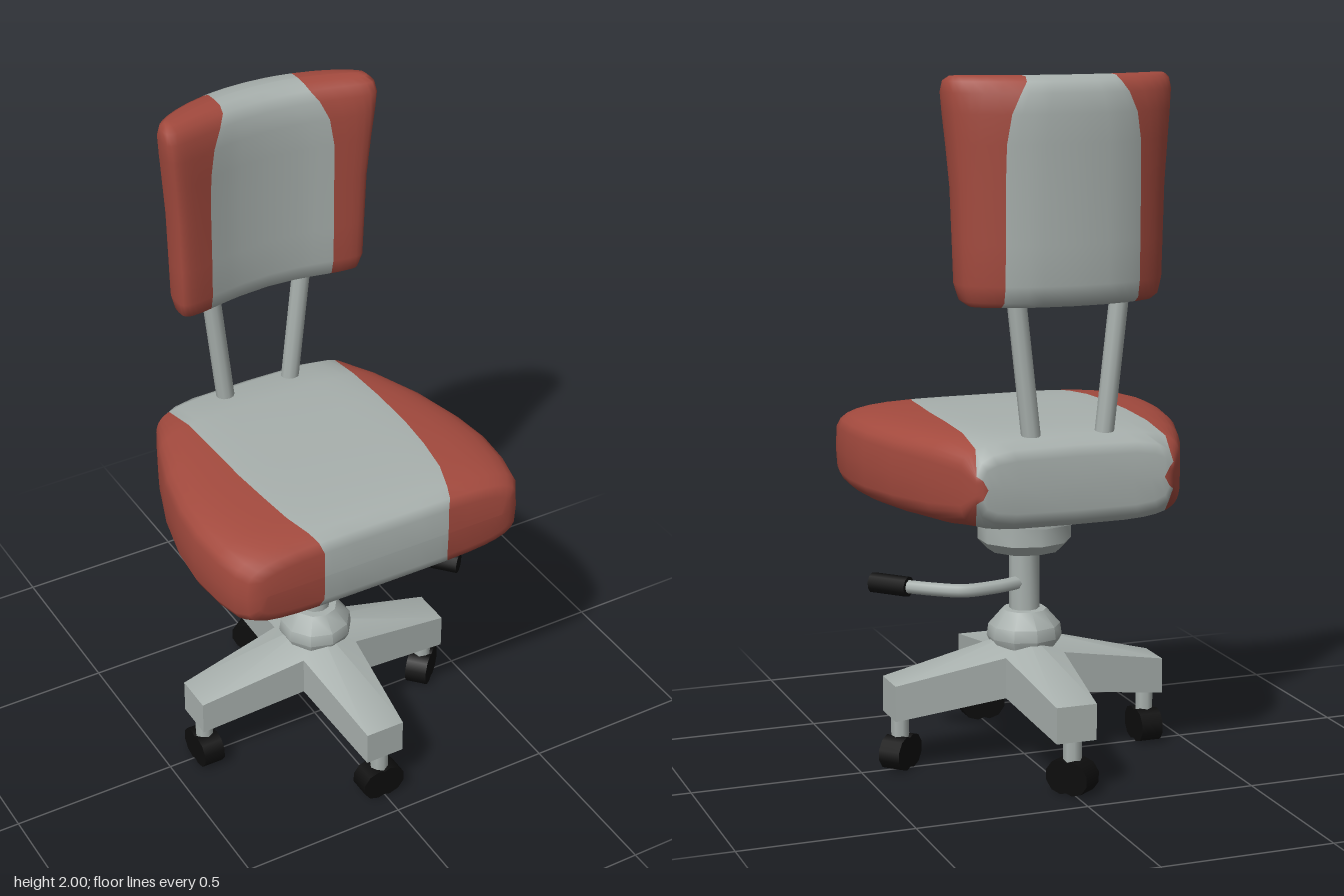
import * as THREE from 'three';
import { toCreasedNormals } from 'three/addons/utils/BufferGeometryUtils.js';

const red = new THREE.MeshStandardMaterial({ color: 0xa34a3e });
red.name = 'red upholstery';
const grey = new THREE.MeshStandardMaterial({ color: 0xa8b0ad });
grey.name = 'grey';
const black = new THREE.MeshStandardMaterial({ color: 0x0d0d0d });
black.name = 'black rubber';

function add(parent, name, geometry, material, x = 0, y = 0, z = 0) {
  const mesh = new THREE.Mesh(geometry, material);
  mesh.name = name;
  mesh.position.set(x, y, z);
  parent.add(mesh);
  return mesh;
}

// Lofted cushion: superellipse sections [t, halfWidth, stripeHalfWidth, halfHeight, centre]
// run along z; the middle stripe is grey and the two sides are red.
function cushion(stations, n) {
  const SIDE = 14, MID = 8, RING = 2 * (SIDE + MID);
  const pos = [], greyIdx = [], redIdx = [];
  for (const [t, w, s, h, c] of stations) {
    const a0 = Math.acos(Math.min(0.995, Math.pow(s / w, n / 2)));
    const spans = [[-a0, a0, SIDE], [a0, Math.PI - a0, MID],
      [Math.PI - a0, Math.PI + a0, SIDE], [Math.PI + a0, 2 * Math.PI - a0, MID]];
    for (const [from, to, count] of spans) {
      for (let k = 0; k < count; k++) {
        const a = from + (to - from) * k / count;
        const p = v => Math.sign(v) * Math.pow(Math.abs(v), 2 / n);
        pos.push(w * p(Math.cos(a)), c + h * p(Math.sin(a)), t);
      }
    }
  }
  for (let i = 0; i < stations.length - 1; i++) {
    for (let j = 0; j < RING; j++) {
      const j2 = (j + 1) % RING;
      const a = i * RING + j, b = i * RING + j2, c = b + RING, d = a + RING;
      const isSide = j % (SIDE + MID) < SIDE;
      (isSide ? redIdx : greyIdx).push(a, b, d, b, c, d);
    }
  }
  const g = new THREE.BufferGeometry();
  g.setAttribute('position', new THREE.Float32BufferAttribute(pos, 3));
  g.setIndex([...redIdx, ...greyIdx]);
  g.addGroup(0, redIdx.length, 0);
  g.addGroup(redIdx.length, greyIdx.length, 1);
  return g;
}

// Four-legged star: fans from a top and a bottom centre to an outline of tips and valleys
function starGeometry() {
  const outline = [];
  for (let k = 0; k < 4; k++) {
    const c = Math.cos(k * Math.PI / 2), s = Math.sin(k * Math.PI / 2);
    for (const [r, o, lo, hi] of [[0.415, -0.06, 0.155, 0.26], [0.415, 0.06, 0.155, 0.26], [0.09, 0.09, 0.2, 0.32]])
      outline.push([r * c - o * s, r * s + o * c, lo, hi]);
  }
  const pos = [];
  outline.forEach(([x, z, lo, hi], i) => {
    const [x2, z2, lo2, hi2] = outline[(i + 1) % outline.length];
    pos.push(0, 0.38, 0, x2, hi2, z2, x, hi, z);
    pos.push(0, 0.23, 0, x, lo, z, x2, lo2, z2);
    pos.push(x, lo, z, x, hi, z, x2, hi2, z2, x, lo, z, x2, hi2, z2, x2, lo2, z2);
  });
  const g = new THREE.BufferGeometry();
  g.setAttribute('position', new THREE.Float32BufferAttribute(pos, 3));
  return toCreasedNormals(g, 0.5);
}

function lathe(points, sides) {
  return toCreasedNormals(new THREE.LatheGeometry(points.map(p => new THREE.Vector2(...p)), sides), 0.7);
}

function rod(parent, name, from, to, radius, material) {
  const a = new THREE.Vector3(...from), b = new THREE.Vector3(...to);
  const dir = b.clone().sub(a);
  const mesh = add(parent, name, new THREE.CylinderGeometry(radius, radius, dir.length(), 10), material);
  mesh.position.copy(a).add(b).multiplyScalar(0.5);
  mesh.quaternion.setFromUnitVectors(new THREE.Vector3(0, 1, 0), dir.normalize());
  return mesh;
}

export function createModel() {
  const chair = new THREE.Group();
  chair.name = 'officeChair';

  // Seat
  const seat = cushion([
    [-0.415, 0.26, 0.26, 0, 0.895], [-0.415, 0.275, 0.275, 0.075, 0.895],
    [-0.405, 0.29, 0.29, 0.105, 0.895], [-0.37, 0.325, 0.28, 0.125, 0.895],
    [-0.25, 0.38, 0.275, 0.136, 0.896], [-0.1, 0.435, 0.275, 0.139, 0.896],
    [0.05, 0.47, 0.272, 0.14, 0.895], [0.17, 0.482, 0.262, 0.138, 0.895],
    [0.28, 0.475, 0.247, 0.133, 0.893], [0.36, 0.458, 0.222, 0.125, 0.89],
    [0.395, 0.435, 0.21, 0.11, 0.89], [0.408, 0.405, 0.2, 0.08, 0.89],
    [0.41, 0.38, 0.2, 0, 0.89],
  ], 4.5);
  seat.computeVertexNormals();
  add(chair, 'seat', seat, [red, grey]);

  // Backrest: lofted upward, then bowed forward at the sides
  const back = cushion([
    [1.377, 0.25, 0.195, 0, 0], [1.38, 0.265, 0.195, 0.045, 0],
    [1.395, 0.285, 0.195, 0.068, 0], [1.44, 0.297, 0.195, 0.078, 0],
    [1.55, 0.3, 0.195, 0.08, 0], [1.7, 0.305, 0.195, 0.08, 0],
    [1.82, 0.315, 0.193, 0.083, 0], [1.9, 0.323, 0.18, 0.083, 0],
    [1.955, 0.328, 0.155, 0.077, 0], [1.985, 0.324, 0.135, 0.06, 0],
    [1.998, 0.31, 0.13, 0.035, 0], [2.0, 0.295, 0.13, 0, 0],
  ], 3.6);
  back.rotateX(-Math.PI / 2);
  const bp = back.attributes.position;
  for (let i = 0; i < bp.count; i++) bp.setZ(i, bp.getZ(i) - 0.345 + 0.8 * bp.getX(i) ** 2);
  back.computeVertexNormals();
  add(chair, 'backrest', back, [red, grey], 0.004);

  // Two splayed posts joining seat and backrest
  for (const side of [-1, 1])
    rod(chair, 'backPost', [side * 0.104, 0.98, -0.34], [side * 0.162, 1.5, -0.34], 0.027, grey);

  // Pedestal: star base, hub, column, collar and mounting plate
  const base = new THREE.Group();
  base.name = 'base';
  base.position.set(-0.004, 0, 0.01);
  chair.add(base);
  add(base, 'starBase', starGeometry(), grey);
  add(base, 'hub', lathe([[0.09, 0.32], [0.11, 0.36], [0.105, 0.395], [0.065, 0.44], [0, 0.445]], 10), grey);
  add(base, 'column', lathe([[0.044, 0.4], [0.044, 0.64]], 10), grey);
  add(base, 'collar', lathe([[0, 0.618], [0.108, 0.62], [0.136, 0.65], [0.136, 0.72]], 10), grey);
  add(base, 'mountingPlate', lathe([[0, 0.71], [0.17, 0.71], [0.17, 0.78]], 10), grey);

  // Casters, each swivelled its own way
  const swivels = [0.75, 0, Math.PI / 2, 2.2];
  swivels.forEach((turn, k) => {
    const caster = new THREE.Group();
    caster.name = 'caster';
    caster.position.set(0.383 * Math.cos(k * Math.PI / 2), 0, 0.383 * Math.sin(k * Math.PI / 2));
    caster.rotation.y = turn;
    base.add(caster);
    add(caster, 'casterPost', new THREE.CylinderGeometry(0.027, 0.027, 0.14, 8), grey, 0, 0.13, 0);
    for (const dx of [-0.019, 0.019]) {
      const wheel = new THREE.CylinderGeometry(0.05, 0.05, 0.066, 10);
      wheel.rotateX(Math.PI / 2);
      add(caster, 'casterWheel', wheel, black, dx, 0.049, 0);
    }
  });

  // Height lever with a flat grip
  const path = new THREE.CatmullRomCurve3([[0, 0], [0.1, -0.035], [0.2, -0.045], [0.26, -0.01], [0.35, 0.07]]
    .map(([x, z]) => new THREE.Vector3(x, 0.522, z)));
  add(chair, 'lever', new THREE.TubeGeometry(path, 16, 0.02, 8), grey);
  const grip = rod(chair, 'leverGrip', [0.335, 0.522, 0.055], [0.415, 0.522, 0.145], 0.03, black);
  grip.scale.set(1, 1, 1);
  grip.geometry.scale(1, 1, 1);

  return chair;
}
